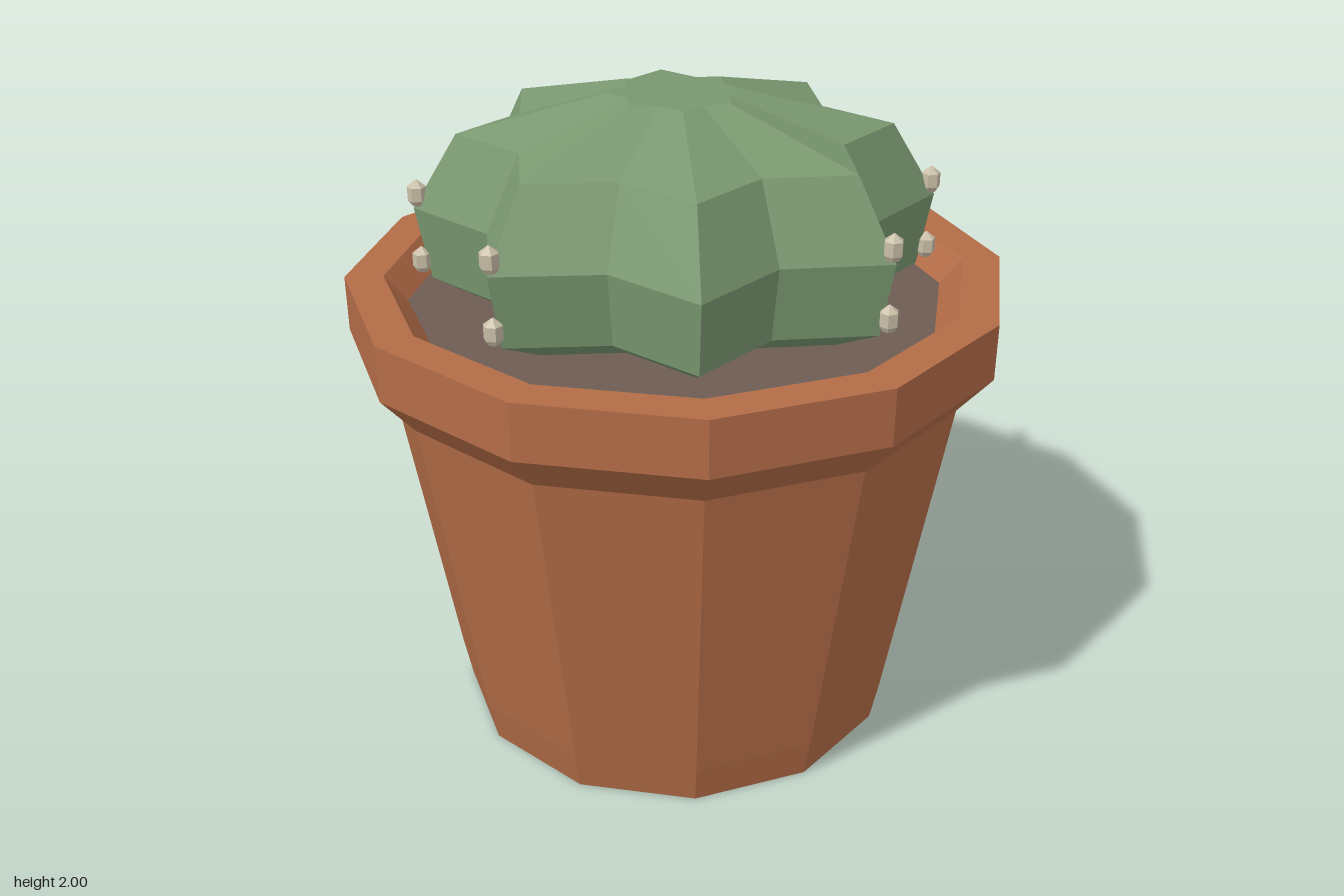
import * as THREE from 'three';

const material = (name, color) => {
  const m = new THREE.MeshStandardMaterial({ color });
  m.name = name;
  return m;
};

// Faceted solid of revolution; profile runs bottom to top on the outside
function facetedLathe(profile, sides, reshape) {
  const points = profile.map(([r, y]) => new THREE.Vector2(r, y));
  const lathe = new THREE.LatheGeometry(points, sides);
  if (reshape) reshape(lathe.attributes.position, points.length);
  const flat = lathe.toNonIndexed();
  flat.computeVertexNormals();
  return flat;
}

export function createModel() {
  const terracotta = material('terracotta', 0xb36c47);
  const earth = material('soil brown', 0x6e5c54);
  const green = material('cactus green', 0x7a9870);
  const cream = material('spine cream', 0xcabfa8);

  const model = new THREE.Group();
  model.name = 'pottedCactus';
  const add = (name, geometry, mat, parent = model) => {
    const mesh = new THREE.Mesh(geometry, mat);
    mesh.name = name;
    parent.add(mesh);
    return mesh;
  };

  // Twelve-sided pot with flared rim and inner lip
  add('pot', facetedLathe([
    [0, 0], [0.695, 0], [0.72, 0.13], [0.89, 1.17], [0.99, 1.29],
    [0.99, 1.46], [0.875, 1.46], [0.8, 1.37],
  ], 12), terracotta);

  // Soil surface
  add('soil', facetedLathe([[0.81, 1.38], [0, 1.38]], 12), earth);

  // Eight-ribbed cactus: every second column is pulled in to form a valley
  const ribs = 8;
  const pullValleys = (pos, rows) => {
    for (let i = 0; i < pos.count; i++) {
      const k = Math.floor(i / rows) % 2 ? 0.775 : 1;
      pos.setX(i, pos.getX(i) * k);
      pos.setZ(i, pos.getZ(i) * k);
    }
  };
  add('cactus', facetedLathe([
    [0.55, 1.36], [0.73, 1.45], [0.77, 1.67], [0.635, 1.89], [0.2, 2], [0, 2],
  ], ribs * 2, pullValleys), green);

  // Spine buds in pairs on the side and diagonal ribs
  const spines = new THREE.Group();
  spines.name = 'spines';
  model.add(spines);
  const budGeometry = facetedLathe([
    [0, -0.038], [0.018, -0.038], [0.028, -0.022], [0.028, 0.018], [0, 0.04],
  ], 6);
  for (let i = 0; i < ribs; i++) {
    if (i % 4 === 0) continue; // front and back ribs are bare
    const angle = (i / ribs) * Math.PI * 2;
    for (const y of [1.512, 1.718]) {
      const bud = add('spine', budGeometry, cream, spines);
      bud.position.set(Math.sin(angle) * 0.757, y, Math.cos(angle) * 0.757);
      bud.rotation.y = angle;
    }
  }
  return model;
}
